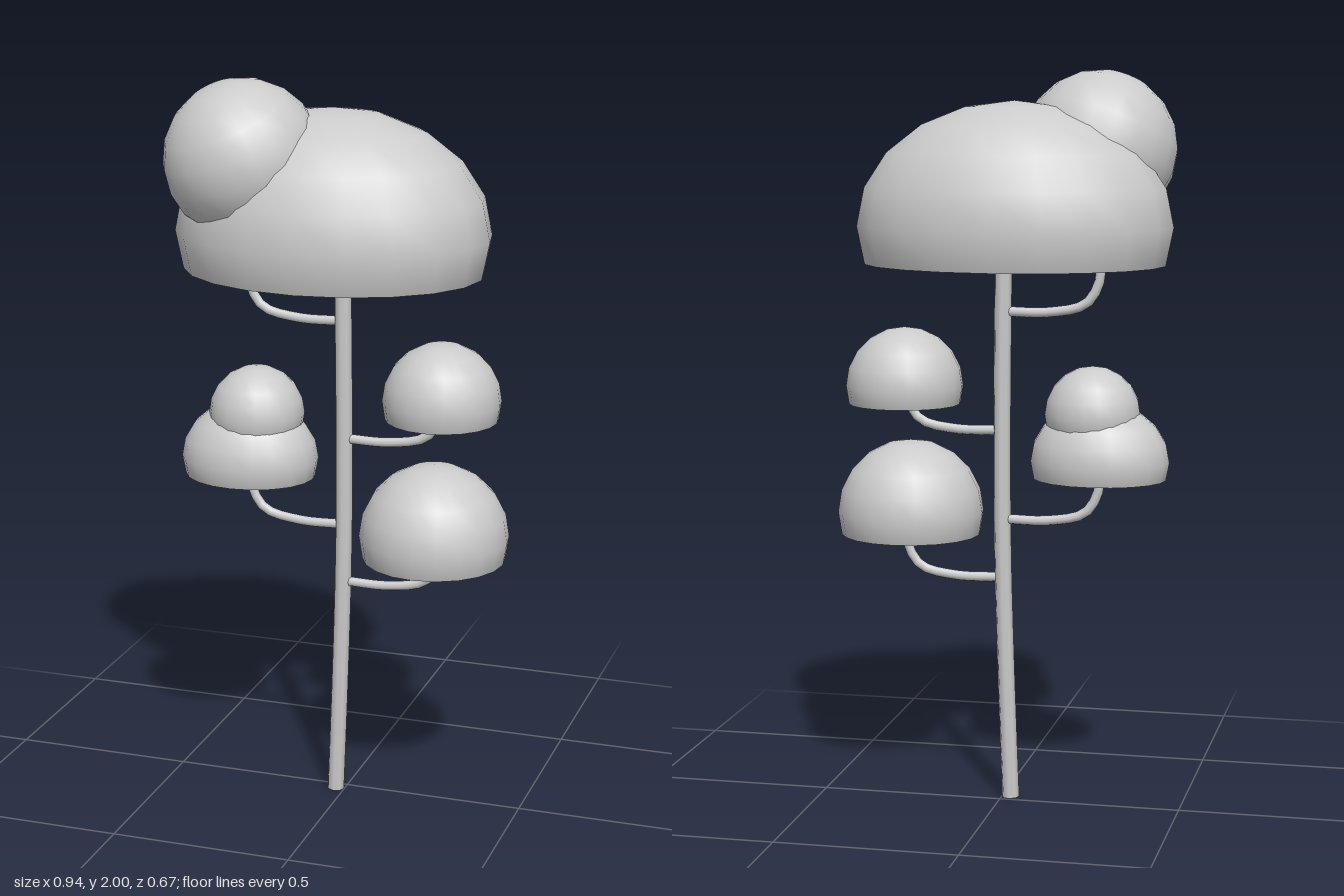
import * as THREE from 'three';

const grey = new THREE.MeshStandardMaterial({ color: 0xcccccc });
const BELOW = Math.PI / 10; // domes are cut one ring below their equator

function add(parent, name, geometry) {
  const mesh = new THREE.Mesh(geometry, grey);
  mesh.name = name;
  parent.add(mesh);
  return mesh;
}

// Ellipsoid dome with a flat underside
function dome(parent, name, [x, y, z], [rx, ry, rz]) {
  const group = new THREE.Group();
  group.name = name;
  group.position.set(x, y, z);
  add(group, name + 'Crown', new THREE.SphereGeometry(1, 20, 6, 0, Math.PI * 2, 0, Math.PI / 2 + BELOW)
    .scale(rx, ry, rz));
  add(group, name + 'Underside', new THREE.CircleGeometry(Math.cos(BELOW), 20)
    .rotateX(Math.PI / 2).scale(rx, 1, rz).translate(0, -Math.sin(BELOW) * ry, 0));
  parent.add(group);
}

// Full ball of leaves, tilted
function ball(parent, name, position, radius, tiltX, tiltZ) {
  const mesh = add(parent, name, new THREE.SphereGeometry(radius, 20, 10));
  mesh.position.set(...position);
  mesh.rotation.set(tiltX, 0, tiltZ);
}

function tube(parent, name, points, segments, radius, sides) {
  const curve = new THREE.CatmullRomCurve3(points.map(p => new THREE.Vector3(...p)));
  return add(parent, name, new THREE.TubeGeometry(curve, segments, radius, sides));
}

export function createModel() {
  const tree = new THREE.Group();
  tree.name = 'tree';
  const Z = 0.028; // depth of the trunk and branches

  // Slightly bowed trunk with a closed foot
  tube(tree, 'trunk', [[-0.025, 0, Z], [-0.012, 0.35, Z], [-0.002, 0.7, Z], [0, 1, Z], [-0.004, 1.52, Z]], 10, 0.024, 8);
  const foot = add(tree, 'trunkFoot', new THREE.CircleGeometry(0.024, 8).rotateX(Math.PI / 2));
  foot.position.set(-0.025, 0.001, Z);

  // Upturned branches, alternating sides
  const branches = [['lowerLeftBranch', 1, 0.622], ['lowerRightBranch', -1, 0.785],
    ['upperLeftBranch', 1, 1.03], ['upperRightBranch', -1, 1.355]];
  for (const [name, side, y] of branches) {
    const path = [[0, 0], [0.13, 0], [0.23, 0.024], [0.267, 0.085], [0.27, 0.145]];
    tube(tree, name, path.map(([dx, dy]) => [side * dx, y + dy, Z]), 12, 0.0135, 8);
  }

  // Leaf clumps
  dome(tree, 'topCanopy', [-0.04, 1.588, 0], [0.43, 0.332, 0.333]);
  ball(tree, 'topCanopyBall', [-0.25, 1.79, 0.108], 0.212, 0.3, 0.3);
  dome(tree, 'upperLeftCanopy', [0.265, 1.15, 0], [0.16, 0.16, 0.16]);
  dome(tree, 'lowerLeftCanopy', [0.265, 0.791, 0.062], [0.202, 0.2, 0.202]);
  dome(tree, 'rightCanopy', [-0.27, 0.955, 0.03], [0.19, 0.16, 0.16]);
  ball(tree, 'rightCanopyBall', [-0.25, 1.082, 0.028], 0.13, 0, 0);

  return tree;
}
